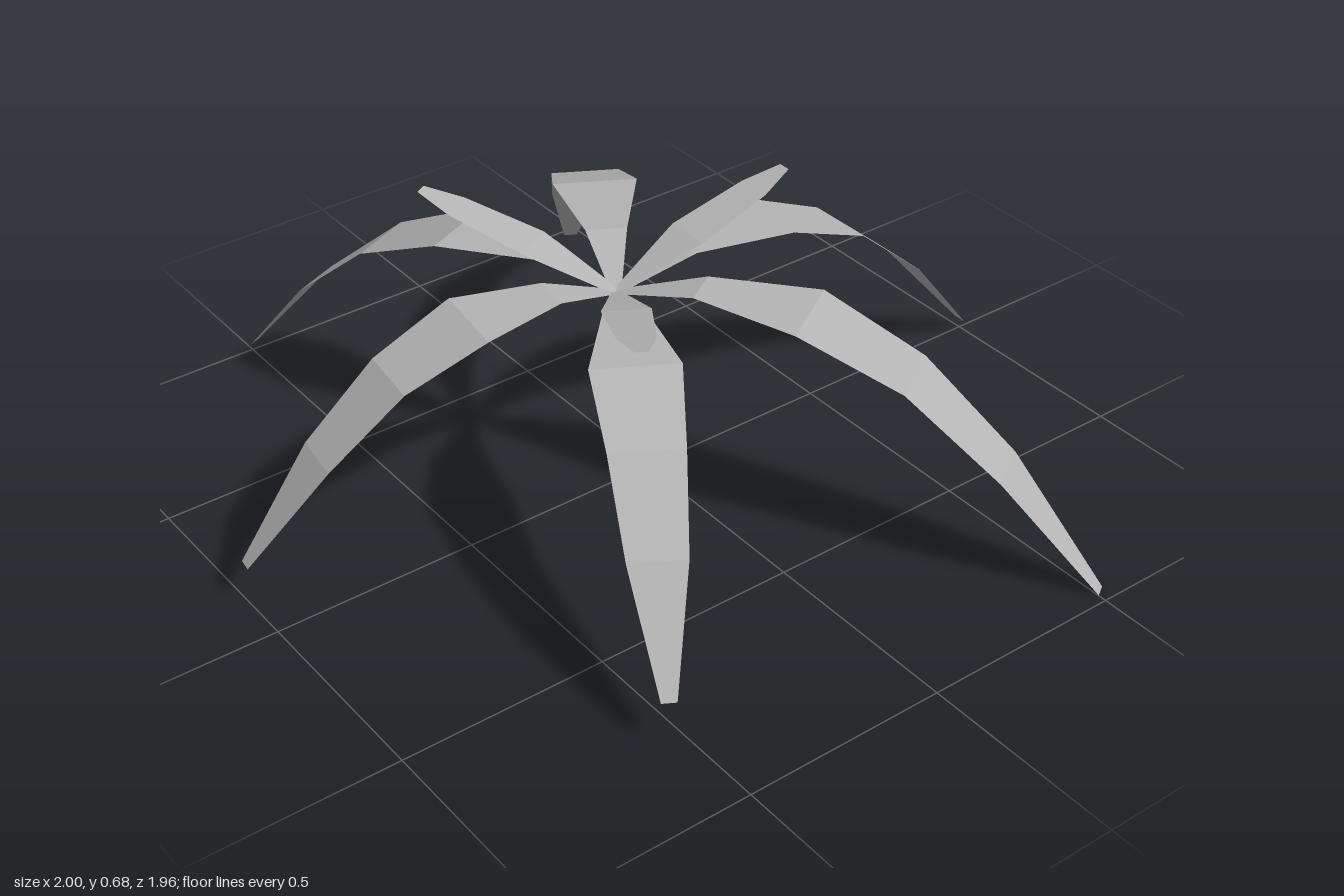
import * as THREE from 'three';

const HUB = { x: -0.09, y: 0.525 };

// Cross-sections: [distance from hub, height above hub, half width]
const LONG = [[0, 0, 0.012], [0.19, 0.053, 0.048], [0.43, 0.045, 0.1], [0.66, -0.055, 0.083], [0.87, -0.235, 0.065], [1.09, -0.497, 0.017]];
const SHORT = [[0, 0, 0.01], [0.2, 0.078, 0.055], [0.39, 0.13, 0.042], [0.48, 0.155, 0.015]];

// A single-sheet frond along +x, stretched in length by a scale
function frondGeometry(sections, scale) {
  const positions = [];
  const index = [];
  sections.forEach(([r, h, w], i) => {
    positions.push(r * scale, h * scale, -w, r * scale, h * scale, w);
    if (i > 0) {
      const a = 2 * i - 2;
      index.push(a, a + 1, a + 2, a + 1, a + 3, a + 2);
    }
  });
  const g = new THREE.BufferGeometry();
  g.setAttribute('position', new THREE.Float32BufferAttribute(positions, 3));
  g.setIndex(index);
  const flat = g.toNonIndexed();
  flat.computeVertexNormals();
  return flat;
}

export function createModel() {
  const leafGrey = new THREE.MeshStandardMaterial({ color: 0xb4b4b4, flatShading: true, side: THREE.DoubleSide });
  leafGrey.name = 'leafGrey';
  const model = new THREE.Group();
  model.name = 'plant';

  // Frond turned so that its tip points along (dx, dz) from the hub
  const addFrond = (name, sections, dx, dz) => {
    const reach = sections[sections.length - 1][0];
    const mesh = new THREE.Mesh(frondGeometry(sections, Math.hypot(dx, dz) / reach), leafGrey);
    mesh.name = name;
    mesh.position.set(HUB.x, HUB.y, 0);
    mesh.rotation.y = -Math.atan2(dz, dx);
    model.add(mesh);
  };

  // Six long drooping fronds
  const longTips = [[1.09, 0], [0.605, 0.97], [-0.45, 0.785], [-0.91, -0.126], [-0.415, -0.975], [0.525, -0.925]];
  longTips.forEach(([dx, dz], i) => addFrond(`longFrond${i + 1}`, LONG, dx, dz));

  // Three short rising fronds
  for (let i = 0; i < 3; i++) {
    const a = (i * Math.PI * 2) / 3;
    addFrond(`shortFrond${i + 1}`, SHORT, 0.48 * Math.cos(a), 0.48 * Math.sin(a));
  }
  return model;
}
